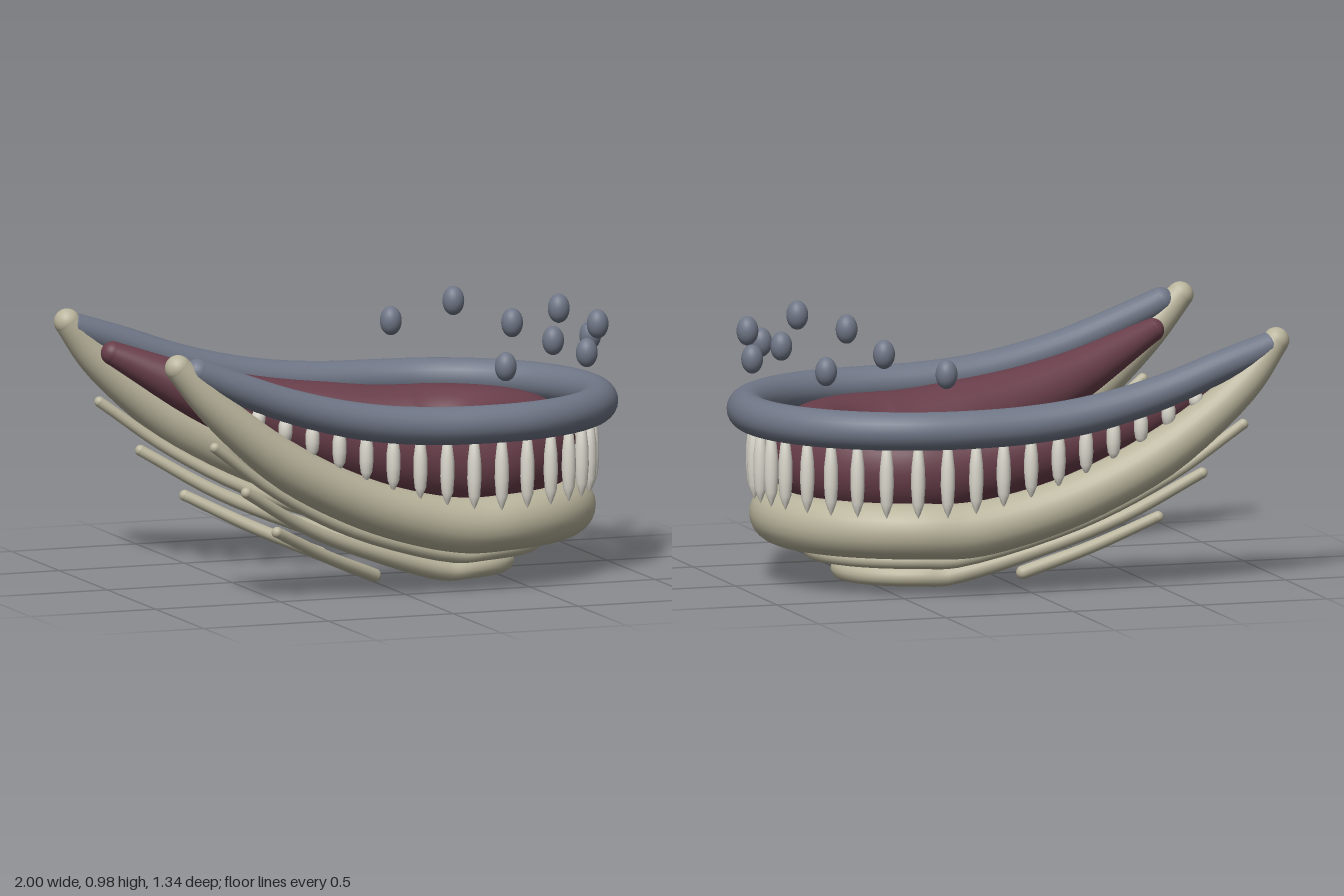
import * as THREE from 'three';

const paint = (name, color) => {
  const m = new THREE.MeshStandardMaterial({ color });
  m.name = name;
  return m;
};

export function createModel() {
  const model = new THREE.Group();
  const slate = paint('slate', 0x6f7686);
  const maroon = paint('maroon', 0x683e4a);
  const bone = paint('bone', 0xb9b49c);
  const ivory = paint('ivory', 0xdad7cc);

  const add = (name, geometry, material, pos = [0, 0, 0], scale = [1, 1, 1]) => {
    const mesh = new THREE.Mesh(geometry, material);
    mesh.name = name;
    mesh.position.set(...pos);
    mesh.scale.set(...scale);
    model.add(mesh);
    return mesh;
  };

  const ball = new THREE.SphereGeometry(1, 24, 16);

  // Tapered round tube through points [x, y, z, radius], with rounded ends
  function sweep(name, pts, material, steps = 96, sides = 24) {
    const path = new THREE.CatmullRomCurve3(pts.map(p => new THREE.Vector3(p[0], p[1], p[2])));
    const verts = [], index = [], up = new THREE.Vector3(0, 1, 0);
    const radiusAt = t => {
      const f = t * (pts.length - 1), i = Math.min(Math.floor(f), pts.length - 2);
      return THREE.MathUtils.lerp(pts[i][3], pts[i + 1][3], f - i);
    };
    for (let i = 0; i <= steps; i++) {
      const t = i / steps, c = path.getPoint(t), r = radiusAt(t), T = path.getTangent(t);
      const S = up.clone().cross(T).normalize(), U = T.clone().cross(S);
      for (let j = 0; j < sides; j++) {
        const a = (j / sides) * Math.PI * 2;
        const v = c.clone().addScaledVector(S, r * Math.cos(a)).addScaledVector(U, r * Math.sin(a));
        verts.push(v.x, v.y, v.z);
        if (i < steps) {
          const k = (j + 1) % sides, p = i * sides, q = p + sides;
          index.push(p + j, p + k, q + j, p + k, q + k, q + j);
        }
      }
    }
    const g = new THREE.BufferGeometry();
    g.setAttribute('position', new THREE.Float32BufferAttribute(verts, 3));
    g.setIndex(index);
    g.computeVertexNormals();
    add(name, g, material);
    for (const p of [pts[0], pts[pts.length - 1]])
      add(name + 'End', ball, material, p.slice(0, 3), [p[3], p[3], p[3]]);
  }

  // Horseshoe: one arm from the back, an elliptical bend of given reach, and the mirrored arm.
  // farShift moves the back end of the -z arm along x.
  function horseshoe(arm, reach, farShift = 0) {
    const [x, y, z, r] = arm[arm.length - 1];
    const bend = [];
    for (let i = 1; i < 10; i++) {
      const a = (i / 10) * Math.PI;
      bend.push([x + reach * Math.sin(a), y, z * Math.cos(a), r]);
    }
    const other = arm.map(p => [p[0], p[1], -p[2], p[3]]).reverse();
    other[other.length - 1][0] += farShift;
    return [...arm, ...bend, ...other];
  }

  // Upper lip
  sweep('upperLip', horseshoe([
    [-0.87, 0.905, 0.6, 0.052], [-0.72, 0.84, 0.6, 0.059], [-0.47, 0.747, 0.598, 0.065],
    [-0.2, 0.68, 0.597, 0.07], [0.05, 0.65, 0.596, 0.072], [0.3, 0.643, 0.595, 0.072],
  ], 0.628, -0.03), slate);

  // Lower jaw, meeting the upper lip at the corners
  sweep('lowerJaw', horseshoe([
    [-0.948, 0.925, 0.6, 0.05], [-0.8, 0.765, 0.6, 0.067], [-0.5, 0.525, 0.578, 0.09],
    [-0.2, 0.37, 0.55, 0.095], [0.05, 0.287, 0.527, 0.1], [0.25, 0.25, 0.51, 0.105],
  ], 0.56, 0.018), bone);

  // Mouth lining
  sweep('mouthLining', horseshoe([
    [-0.81, 0.81, 0.515, 0.045], [-0.4, 0.63, 0.43, 0.11],
    [0, 0.52, 0.37, 0.16], [0.3, 0.47, 0.335, 0.187],
  ], 0.355, 0.03), maroon, 96, 32);

  // Throat ridges under the jaw
  sweep('outerRidge', horseshoe([
    [-0.8, 0.615, 0.6, 0.02], [-0.53, 0.42, 0.54, 0.022],
    [-0.2, 0.25, 0.46, 0.026], [0.25, 0.118, 0.37, 0.03],
  ], 0.44), bone, 80, 16);
  sweep('middleRidge', horseshoe([
    [-0.655, 0.43, 0.55, 0.021], [-0.37, 0.262, 0.45, 0.025],
    [-0.07, 0.14, 0.36, 0.03], [0.25, 0.042, 0.26, 0.037],
  ], 0.325), bone, 80, 16);
  for (const s of [1, -1])
    sweep('innerRidge', [
      [-0.505, 0.262, 0.48 * s, 0.021], [-0.27, 0.143, 0.38 * s, 0.024], [-0.04, 0.045, 0.28 * s, 0.026],
    ], bone, 24, 16);

  // Teeth: pointed spindles, shorter toward the mouth corners
  const tooth = new THREE.LatheGeometry([
    [0, 0], [0.4, 0.08], [0.82, 0.19], [1, 0.42], [0.96, 0.65], [0.65, 0.9], [0, 1],
  ].map(p => new THREE.Vector2(...p)), 14);
  const bendX = [0.355, 0.465, 0.575, 0.67, 0.75, 0.815, 0.866, 0.891, 0.9];
  const toothX = [...Array.from({ length: 9 }, (_, i) => -0.62 + 0.108 * i), ...bendX];
  for (const x of toothX) {
    const u = Math.max(0, (0.355 - x) / 0.975), k = Math.max(0, (x - 0.3) / 0.6);
    const z = 0.585 * Math.sqrt(Math.max(0, 1 - k * k));
    const tip = 0.31 + 0.365 * u ** 1.65, top = 0.6 + 0.155 * u ** 1.9;
    for (const s of z > 0.01 ? [1, -1] : [1])
      add('tooth', tooth, ivory, [x, tip, z * s], [0.027, top - tip, 0.027]);
  }

  // Floating beads above the front lip
  const beads = [[0.365, 0.857, 0.597], [0.585, 0.932, 0.518], [0.77, 0.857, 0.388], [0.885, 0.932, 0.202], [0.933, 0.857, 0]];
  for (const [x, y, z] of beads)
    for (const s of z ? [1, -1] : [1])
      add('bead', ball, slate, [x, y, z * s], [0.041, 0.055, 0.041]);

  return model;
}
